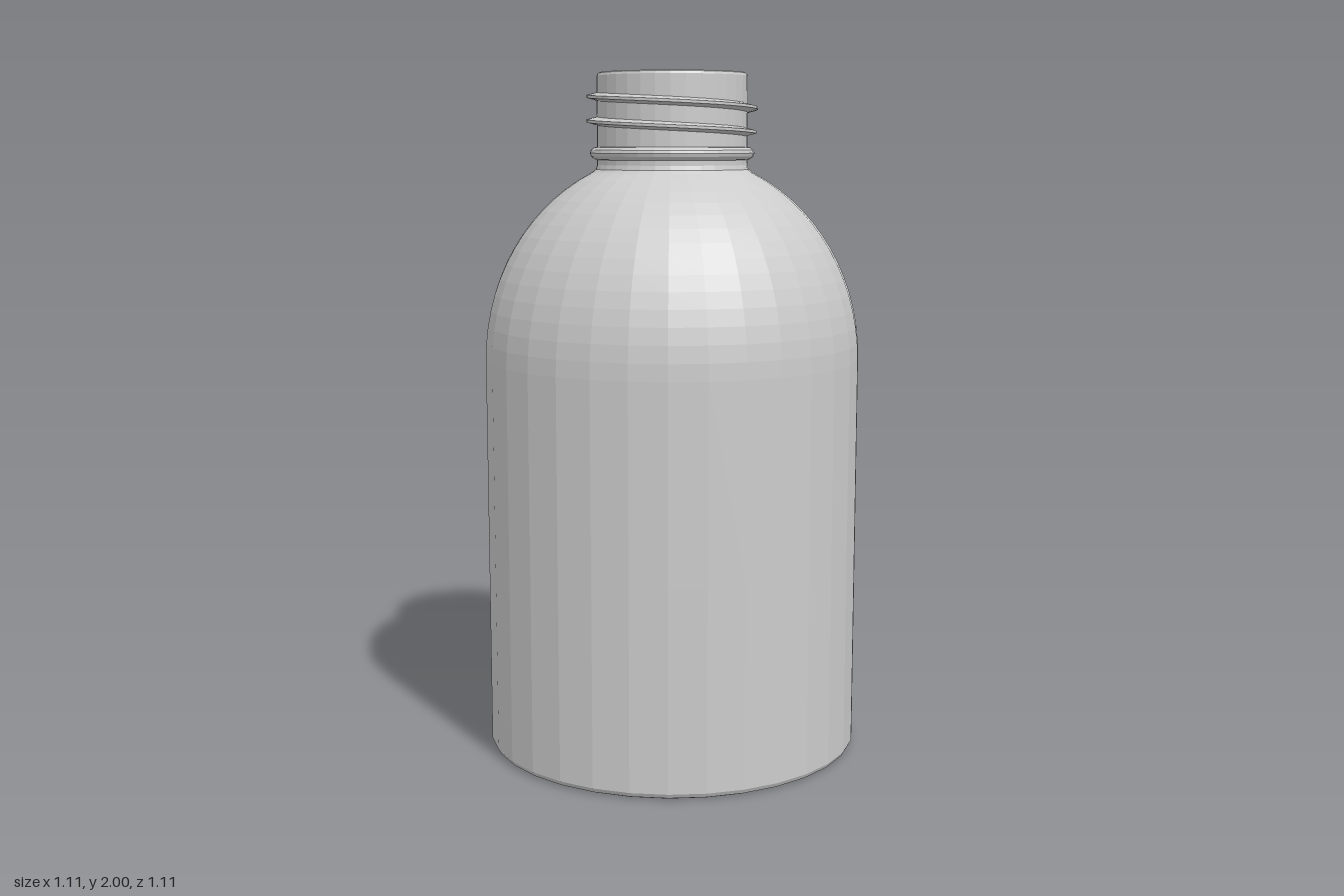
import * as THREE from 'three';

const SIDES = 32;
const material = new THREE.MeshStandardMaterial({ color: 0xcccccc, flatShading: true, side: THREE.DoubleSide });

function lathe(name, points) {
  const geometry = new THREE.LatheGeometry(points.map(([r, y]) => new THREE.Vector2(r, y)), SIDES);
  const mesh = new THREE.Mesh(geometry, material);
  mesh.name = name;
  return mesh;
}

// Domed shoulder: a quarter ellipse cut off where the neck begins
function shoulder(radius, height, endRadius, steps = 14) {
  const end = Math.acos(endRadius / radius);
  return Array.from({ length: steps + 1 }, (_, i) => {
    const t = (end * i) / steps;
    return [radius * Math.cos(t), 1.17 + height * Math.sin(t)];
  });
}

// Helical ridge, descending two turns and fading into the neck at both ends
function screwThread() {
  const turns = 2, steps = turns * SIDES, positions = [], index = [];
  for (let i = 0; i <= steps; i++) {
    const a = (i / SIDES) * Math.PI * 2;
    const y = 1.963 - (0.07 * i) / SIDES;
    const fade = Math.min(1, i / 3, (steps - i) / 3);
    const tip = 0.212 + 0.038 * fade;
    const section = [[0.212, -0.014], [tip, -0.004], [tip, 0.004], [0.212, 0.014]];
    for (const [r, h] of section) positions.push(r * Math.cos(a), y + h * (0.2 + 0.8 * fade), -r * Math.sin(a));
  }
  for (let i = 0; i < steps; i++) {
    for (let j = 0; j < 4; j++) {
      const a = i * 4 + j, b = i * 4 + ((j + 1) % 4);
      index.push(a, a + 4, b, b, a + 4, b + 4);
    }
  }
  const geometry = new THREE.BufferGeometry();
  geometry.setAttribute('position', new THREE.Float32BufferAttribute(positions, 3));
  geometry.setIndex(index);
  geometry.computeVertexNormals();
  const mesh = new THREE.Mesh(geometry, material);
  mesh.name = 'screwThread';
  return mesh;
}

export function createModel() {
  const group = new THREE.Group();
  group.name = 'bottle';

  // Hollow shell: up the outside, over the rim, down the inside to the floor
  const outer = [
    [0, 0], [0.535, 0], [0.546, 0.005], [0.553, 0.018], [0.553, 0.6],
    ...shoulder(0.553, 0.6, 0.235),
    [0.224, 1.722], [0.22, 1.735], [0.22, 1.99], [0.217, 1.997], [0.212, 2],
  ];
  const inner = [
    [0.206, 1.997], [0.203, 1.99], [0.203, 1.72],
    ...shoulder(0.538, 0.59, 0.22).reverse(),
    [0.538, 0.03], [0.525, 0.015], [0.0, 0.015],
  ];
  group.add(lathe('bottleShell', [...outer, ...inner]));

  // Rounded collar bead below the thread
  group.add(lathe('neckCollar', [
    [0.215, 1.748], [0.229, 1.752], [0.238, 1.76], [0.241, 1.769],
    [0.238, 1.778], [0.229, 1.785], [0.215, 1.788],
  ]));

  group.add(screwThread());
  return group;
}
